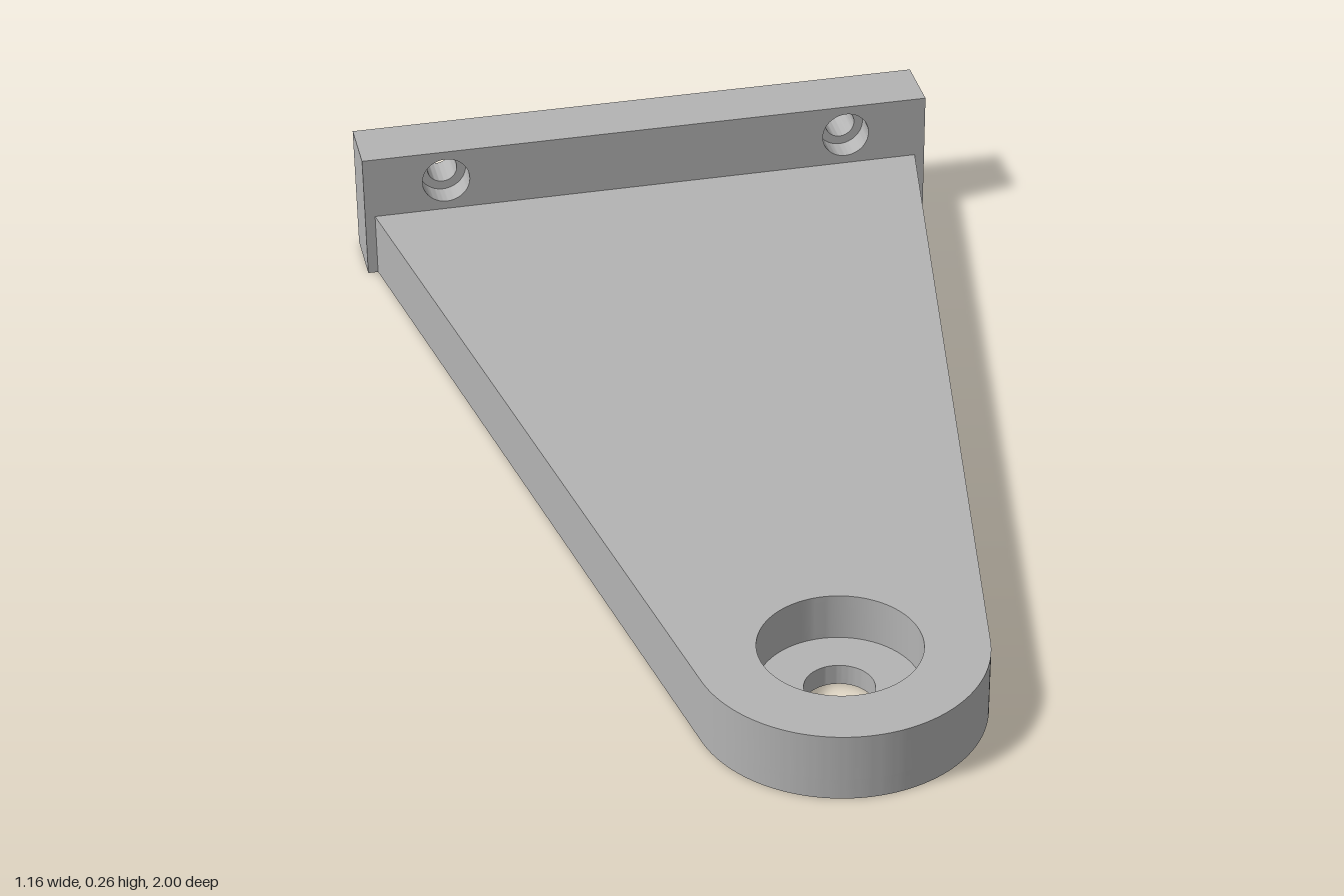
import * as THREE from 'three';
import { toCreasedNormals } from 'three/addons/utils/BufferGeometryUtils.js';

const PLATE_FRONT = -0.875, PLATE_BACK = -1;
const BORE_DEPTH = 0.05;   // counterbore in the mounting plate
const ARM_TOP = 0.13, SEAT = 0.04;

// Adds round holes, given as [x, y, radius], to a shape
function drill(shape, holes) {
  for (const [x, y, r] of holes) {
    shape.holes.push(new THREE.Path().absarc(x, y, r, 0, Math.PI * 2, true));
  }
  return shape;
}

// Extrudes a shape with smooth curves and sharp edges
function slab(shape, depth) {
  const geometry = new THREE.ExtrudeGeometry(shape, { depth, bevelEnabled: false, curveSegments: 48 });
  return toCreasedNormals(geometry, 0.5);
}

// Tapered arm outline with a round nose; shape y is -z
function armShape(holeRadius) {
  const a = 0.182, r = 0.26, noseZ = 0.74;
  const shape = new THREE.Shape();
  shape.moveTo(0.56, -PLATE_FRONT);
  shape.lineTo(-0.56, -PLATE_FRONT);
  shape.absarc(0, -noseZ, r, Math.PI + a, 2 * Math.PI - a, false);
  shape.closePath();
  return drill(shape, [[0, -noseZ, holeRadius]]);
}

// Rectangular mounting plate outline
function plateShape(holes) {
  const w = 0.58, h = 0.26;
  const shape = new THREE.Shape([
    new THREE.Vector2(-w, 0), new THREE.Vector2(w, 0),
    new THREE.Vector2(w, h), new THREE.Vector2(-w, h),
  ]);
  return drill(shape, holes);
}

export function createModel() {
  const model = new THREE.Group();
  model.name = 'bracket';
  const grey = new THREE.MeshStandardMaterial({ color: 0xb3b3b3 });
  grey.name = 'grey metal';

  const add = (name, geometry, parent) => {
    const mesh = new THREE.Mesh(geometry, grey);
    mesh.name = name;
    parent.add(mesh);
    return mesh;
  };

  // Arm: narrow through hole below, wide counterbore above
  const arm = new THREE.Group();
  arm.name = 'arm';
  arm.rotation.x = -Math.PI / 2;
  add('armBase', slab(armShape(0.0625), SEAT), arm);
  add('armUpper', slab(armShape(0.145), ARM_TOP - SEAT), arm).position.z = SEAT;
  model.add(arm);

  // Mounting plate: counterbored upper screw holes, lower holes closed by the arm
  const plate = new THREE.Group();
  plate.name = 'mountingPlate';
  const hx = 0.413, upper = 0.195, lower = 0.065, r = 0.03, bore = 0.048;
  const lowerHoles = [[-hx, lower, r], [hx, lower, r]];
  const backDepth = PLATE_FRONT - PLATE_BACK - BORE_DEPTH;
  add('plateBack', slab(plateShape([[-hx, upper, r], [hx, upper, r], ...lowerHoles]), backDepth), plate)
    .position.z = PLATE_BACK;
  add('plateFront', slab(plateShape([[-hx, upper, bore], [hx, upper, bore], ...lowerHoles]), BORE_DEPTH), plate)
    .position.z = PLATE_BACK + backDepth;
  model.add(plate);

  return model;
}
